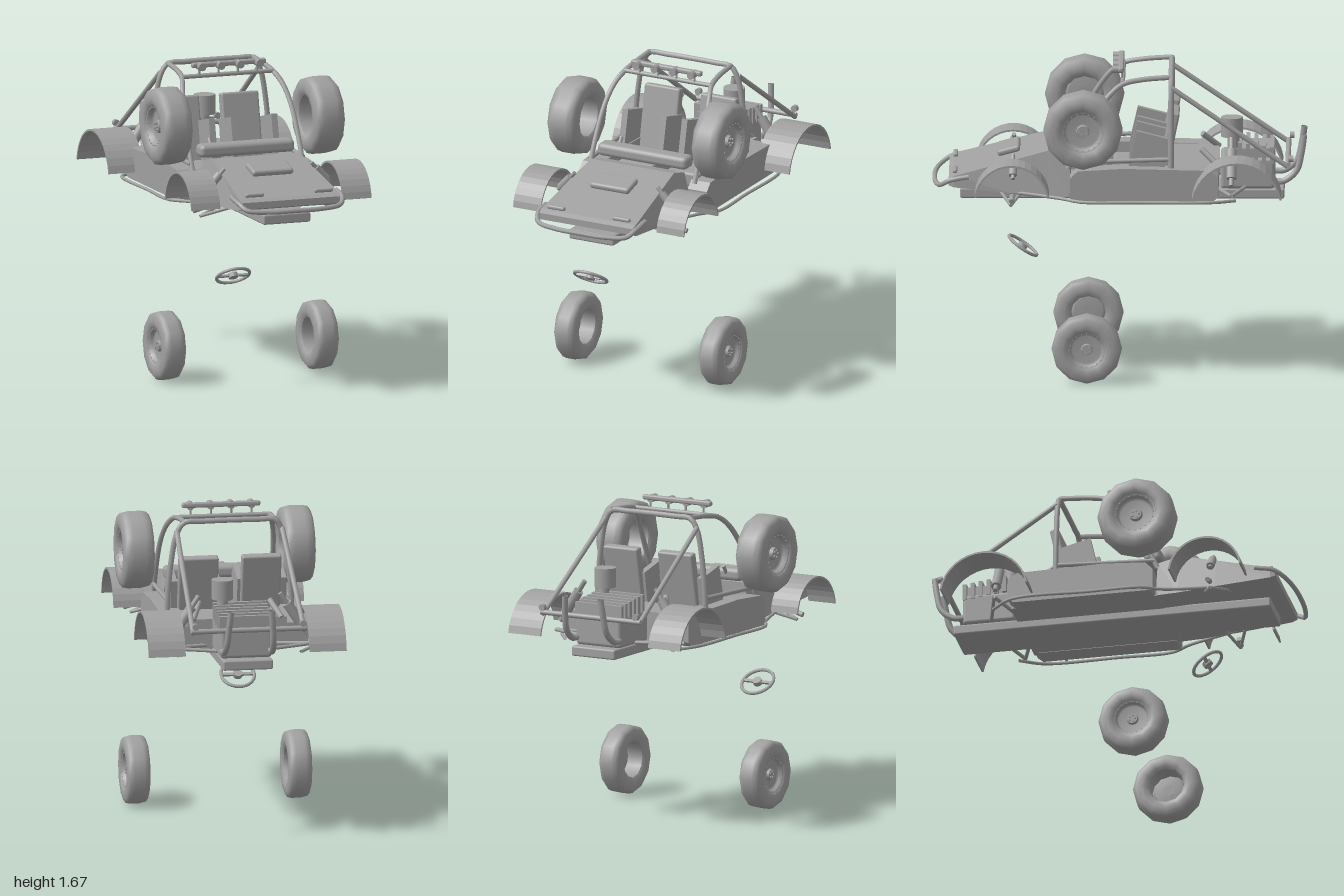
import * as THREE from 'three';
import { RoundedBoxGeometry } from 'three/addons/geometries/RoundedBoxGeometry.js';

const grey = new THREE.MeshStandardMaterial({ color: 0xa0a0a0, side: THREE.DoubleSide });
grey.name = 'plain grey';

const V = (p) => new THREE.Vector3(...p);

export function createModel() {
  const model = new THREE.Group();
  const sides = [['left', 1], ['right', -1]];

  const add = (name, geometry, pos = [0, 0, 0], parent = model) => {
    const mesh = new THREE.Mesh(geometry, grey);
    mesh.name = name;
    mesh.position.set(...pos);
    parent.add(mesh);
    return mesh;
  };
  const box = (name, size, pos, round = 0) => add(name,
    round ? new RoundedBoxGeometry(...size, 2, round) : new THREE.BoxGeometry(...size), pos);
  // Straight bar between two points
  const rod = (name, a, b, r, n = 10) => {
    const d = V(b).sub(V(a));
    const mesh = add(name, new THREE.CylinderGeometry(r, r, d.length(), n));
    mesh.position.copy(V(a)).addScaledVector(d, 0.5);
    mesh.quaternion.setFromUnitVectors(new THREE.Vector3(0, 1, 0), d.normalize());
    return mesh;
  };
  const pipe = (name, pts, r, n = 28) => add(name,
    new THREE.TubeGeometry(new THREE.CatmullRomCurve3(pts.map(V), false, 'centripetal'), n, r, 8));
  // Side profile of [z, y] points, extruded from x0 to x1
  const profile = (name, pts, x0, x1) => {
    const shape = new THREE.Shape(pts.map(([z, y]) => new THREE.Vector2(-z, y)));
    const g = new THREE.ExtrudeGeometry(shape, { depth: x1 - x0, bevelEnabled: false });
    return add(name, g.rotateY(Math.PI / 2), [x0, 0, 0]);
  };
  // Trapezoid sections [z, top half width, bottom half width, bottom y, top y], rear to front
  const loft = (name, sections) => {
    const pos = [], index = [];
    sections.forEach(([z, t, b, y0, y1]) => pos.push(-b, y0, z, b, y0, z, t, y1, z, -t, y1, z));
    for (let s = 0; s < sections.length - 1; s++) for (let i = 0; i < 4; i++) {
      const a = s * 4 + i, b = s * 4 + (i + 1) % 4;
      index.push(a, b, b + 4, a, b + 4, a + 4);
    }
    const e = (sections.length - 1) * 4;
    index.push(0, 2, 1, 0, 3, 2, e, e + 1, e + 2, e, e + 2, e + 3);
    let g = new THREE.BufferGeometry();
    g.setAttribute('position', new THREE.Float32BufferAttribute(pos, 3));
    g.setIndex(index);
    g = g.toNonIndexed();
    g.computeVertexNormals();
    return add(name, g);
  };

  // Wheel with a recessed rim on the outer side and an open inner side
  const wheel = (name, s, x, y, z, R, w) => {
    const group = new THREE.Group();
    group.name = name;
    const h = w / 2, L = (pts, n) => new THREE.LatheGeometry(
      pts.map(([r, v]) => new THREE.Vector2(r * R, v * h)), n);
    add('tyre', L([[0.52, -0.8], [0.6, -0.96], [0.72, -1], [0.88, -0.95], [0.97, -0.75], [1, -0.4],
      [1, 0.4], [0.97, 0.75], [0.88, 0.95], [0.72, 1], [0.6, 0.96], [0.52, 0.8], [0.5, 0.5],
      [0.5, -0.5], [0.52, -0.8]], 12), [0, 0, 0], group);
    add('rim', L([[0, 0.42], [0.4, 0.42], [0.46, 0.55], [0.47, 0.8], [0.53, 0.84]], 24), [0, 0, 0], group);
    add('hub', new THREE.CylinderGeometry(0.15 * R, 0.18 * R, 0.3 * h, 12), [0, 0.5 * h, 0], group);
    const ring = (part, n, r, size, v) => {
      for (let i = 0; i < n; i++) {
        const a = i / n * Math.PI * 2;
        add(part, new THREE.CylinderGeometry(size, size, size * 1.5, 6),
          [Math.sin(a) * r * R, v * h, Math.cos(a) * r * R], group);
      }
    };
    ring('rimBolt', 20, 0.48, 0.015 * R, 0.84);
    ring('wheelNut', 5, 0.09, 0.03 * R, 0.7);
    group.rotation.z = -s * Math.PI / 2;
    group.position.set(s * x, y, z);
    model.add(group);
  };
  for (const [n, s] of sides) {
    wheel(n + 'SmallWheel', s, 0.437, 0.195, 0.17, 0.187, 0.127);
    wheel(n + 'LargeWheel', s, 0.435, 1.39, 0.19, 0.211, 0.17);
  }

  // Steering wheel, lying on its tilted plane
  const steering = new THREE.Group();
  steering.name = 'steeringWheel';
  add('steeringRim', new THREE.TorusGeometry(0.09, 0.009, 8, 28), [0, 0, 0], steering);
  add('steeringHub', new THREE.CylinderGeometry(0.026, 0.026, 0.025, 14).rotateX(Math.PI / 2), [0, 0, 0], steering);
  add('steeringSpoke', new THREE.BoxGeometry(0.17, 0.018, 0.01), [0, 0, 0], steering);
  steering.quaternion.setFromUnitVectors(new THREE.Vector3(0, 0, 1), new THREE.Vector3(0, 0.82, -0.57).normalize());
  steering.position.set(-0.18, 0.617, 0.517);
  model.add(steering);

  // Chassis, nose and tub
  box('skidPlate', [0.27, 0.055, 1.73], [0, 0.973, -0.015], 0.01);
  box('floor', [0.6, 0.025, 0.8], [0, 1.0, -0.13]);
  loft('nose', [[0.26, 0.25, 0.3, 0.99, 1.2], [0.38, 0.25, 0.3, 0.995, 1.232],
    [0.58, 0.265, 0.3, 1.012, 1.18], [0.88, 0.285, 0.29, 1.04, 1.1], [0.908, 0.28, 0.285, 1.05, 1.085]]);
  box('dashboard', [0.54, 0.07, 0.095], [0, 1.25, 0.235], 0.025);
  rod('steeringColumn', [-0.18, 1.25, 0.2], [-0.18, 1.3, 0.165], 0.01);
  box('hoodScoop', [0.235, 0.035, 0.125], [0, 1.2, 0.59], 0.015).rotation.x = 0.26;
  box('rearDeck', [0.54, 0.15, 0.25], [0, 1.08, -0.405]);
  pipe('frontBumper', [[-0.3, 1.1, 0.8], [-0.295, 1.08, 0.9], [-0.265, 1.05, 0.95], [-0.15, 1.04, 0.978],
    [0, 1.04, 0.985], [0.15, 1.04, 0.978], [0.265, 1.05, 0.95], [0.295, 1.08, 0.9], [0.3, 1.1, 0.8]], 0.013, 50);

  // Curved sheet fender over one wheel place
  const fender = (name, s, x0, x1, z, y, r, base) => {
    const a = Math.asin((base - y) / r), pts = [], n = 16;
    for (let i = 0; i <= n; i++) {
      const t = a + (Math.PI - 2 * a) * i / n;
      pts.push([z + Math.cos(t) * r, y + Math.sin(t) * r]);
    }
    for (let i = n; i >= 0; i--) {
      const t = a + (Math.PI - 2 * a) * i / n;
      pts.push([z + Math.cos(t) * (r - 0.01), y + Math.sin(t) * (r - 0.01)]);
    }
    profile(name, pts, s > 0 ? x0 : -x1, s > 0 ? x1 : -x0);
  };
  const shock = (name, a, b, r) => {
    rod(name + 'Rod', a, b, r * 0.5);
    const p = V(a).lerp(V(b), 0.15).toArray(), q = V(a).lerp(V(b), 0.75).toArray();
    rod(name + 'Spring', p, q, r, 12);
  };

  for (const [n, s] of sides) {
    // Body sides
    box(n + 'Headlight', [0.105, 0.022, 0.025], [s * 0.197, 1.118, 0.875], 0.009);
    profile(n + 'SidePod', [[0.25, 0.985], [0.26, 1.0], [0.26, 1.11], [0.22, 1.15], [-0.02, 1.165],
      [-0.48, 1.155], [-0.53, 1.12], [-0.53, 1.01], [-0.5, 0.985]], s > 0 ? 0.27 : -0.385, s > 0 ? 0.385 : -0.27);
    pipe(n + 'StepRail', [[s * 0.28, 1.015, 0.58], [s * 0.36, 0.995, 0.3], [s * 0.42, 0.99, 0.2], [s * 0.425, 0.99, -0.1],
      [s * 0.42, 0.99, -0.5], [s * 0.33, 0.98, -0.62]], 0.009);
    fender(n + 'FrontFender', s, 0.35, 0.515, 0.57, 1.01, 0.2, 1.035);
    fender(n + 'RearFender', s, 0.335, 0.535, -0.63, 0.988, 0.242, 1.03);

    // Suspension
    shock(n + 'FrontShock', [s * 0.35, 1.1, 0.565], [s * 0.25, 1.21, 0.565], 0.022);
    shock(n + 'RearShock', [s * 0.37, 1.07, -0.6], [s * 0.22, 1.3, -0.6], 0.027);
    for (const z of [0.65, 0.5]) rod(n + 'FrontArm', [s * 0.39, 0.965, 0.575], [s * 0.2, 1.025, z], 0.009);
    for (const z of [-0.5, -0.68]) rod(n + 'RearArm', [s * 0.4, 1.02, -0.6], [s * 0.1, 1.01, z], 0.01);
    rod(n + 'FrontStub', [s * 0.37, 1.01, 0.57], [s * 0.43, 0.995, 0.57], 0.014);
    rod(n + 'DeckBrace', [s * 0.24, 1.15, -0.53], [s * 0.19, 1.23, -0.44], 0.016);

    // Seat with cushion, backrest and bolsters
    const x = s * 0.17;
    box(n + 'SeatCushion', [0.21, 0.08, 0.27], [x, 1.07, -0.1], 0.015);
    box(n + 'SeatBack', [0.215, 0.36, 0.05], [x, 1.27, -0.265], 0.012).rotation.x = -0.2;
    for (const d of [-0.107, 0.125]) {
      profile(n + 'SeatBolster', [[-0.05, 1.1], [-0.055, 1.18], [-0.095, 1.355], [-0.27, 1.31], [-0.235, 1.1]],
        x + s * d - 0.017, x + s * d + 0.017);
    }

    // Roll cage sides
    pipe(n + 'FrontPillar', [[s * 0.315, 1.15, 0.27], [s * 0.315, 1.25, 0.225], [s * 0.305, 1.45, 0.12],
      [s * 0.285, 1.55, 0.045], [s * 0.262, 1.6, -0.02], [s * 0.25, 1.622, -0.12], [s * 0.245, 1.635, -0.275]], 0.014);
    rod(n + 'SillRail', [s * 0.32, 1.185, 0.26], [s * 0.33, 1.205, -0.275], 0.012);
    rod(n + 'RearStay', [s * 0.285, 1.585, -0.28], [s * 0.3, 1.16, -0.9], 0.014);
    rod(n + 'TailLight', [s * 0.29, 1.2, -0.905], [s * 0.29, 1.2, -0.93], 0.018, 12);

    // Upswept exhaust
    pipe(n + 'Exhaust', [[s * 0.13, 1.04, -0.82], [s * 0.13, 1.045, -0.88], [s * 0.125, 1.1, -0.945],
      [s * 0.118, 1.2, -0.972], [s * 0.11, 1.29, -0.985]], 0.017);
  }

  // Roll cage hoops and bars
  const half = [[0.335, 1.0], [0.335, 1.2], [0.315, 1.42], [0.285, 1.57], [0.245, 1.63], [0.15, 1.635]];
  pipe('mainHoop', [...half.map(([x, y]) => [x, y, -0.278]),
    ...half.slice().reverse().map(([x, y]) => [-x, y, -0.278])], 0.015, 60);
  rod('roofFrontBar', [-0.26, 1.605, -0.02], [0.26, 1.605, -0.02], 0.012);
  rod('rearCrossBar', [-0.31, 1.17, -0.9], [0.31, 1.17, -0.9], 0.014);

  // Roof light bar
  box('lightBar', [0.425, 0.028, 0.03], [0, 1.665, -0.01], 0.01);
  for (const x of [-0.165, -0.055, 0.055, 0.165]) {
    rod('roofLight', [x, 1.66, -0.02], [x, 1.66, 0.035], 0.021, 14);
    rod('roofLightMount', [x, 1.6, -0.015], [x, 1.66, -0.015], 0.006);
  }

  // Engine with cooling fins and air filter
  box('engineBase', [0.28, 0.17, 0.29], [0, 1.085, -0.685], 0.02);
  box('engineBlock', [0.25, 0.06, 0.24], [0, 1.19, -0.7]);
  for (let i = 0; i < 6; i++) {
    box('coolingFin', [0.29, 0.09, 0.022], [0, 1.215 - i * 0.006, -0.6 - i * 0.043]);
  }
  rod('filterStem', [0.093, 1.15, -0.61], [0.093, 1.29, -0.61], 0.03, 14);
  rod('airFilter', [0.093, 1.28, -0.6], [0.093, 1.385, -0.6], 0.058, 20);

  return model;
}
